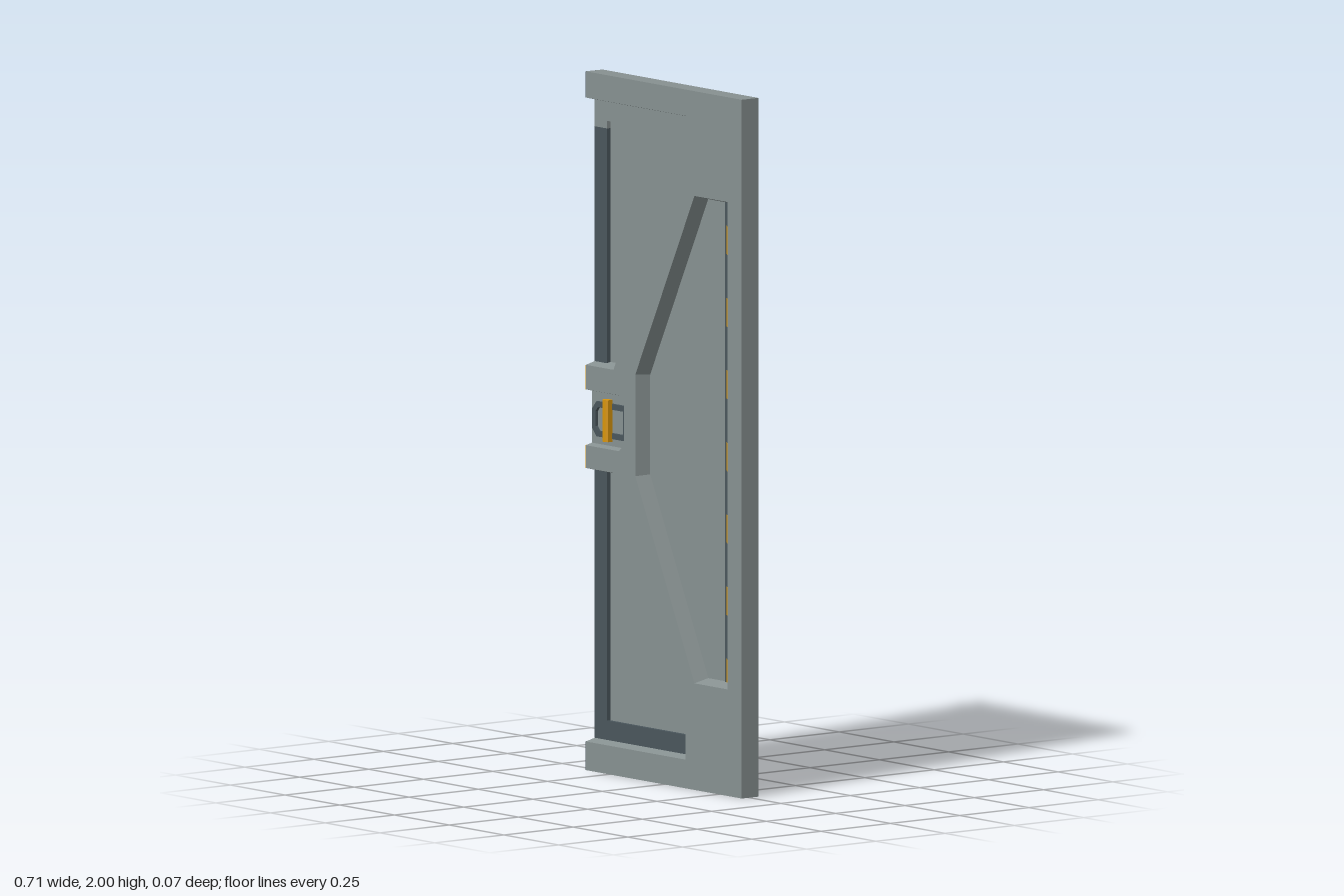
import * as THREE from 'three';

const W = 0.356, FRONT = 0.028, FLOOR = -0.016, LEDGE = -0.004, BACK = -0.033;

function mat(name, color, side = THREE.FrontSide) {
  const m = new THREE.MeshStandardMaterial({ color, side });
  m.name = name;
  return m;
}

const toShape = (pts) => new THREE.Shape(pts.map(([x, y]) => new THREE.Vector2(x, y)));

// Offset a path to the right of its travel, with mitred corners
function offset(pts, w, closed) {
  const n = pts.length;
  const normal = (i) => {
    const a = pts[(i + n) % n], b = pts[(i + 1 + n) % n];
    const l = Math.hypot(b[0] - a[0], b[1] - a[1]);
    return [(b[1] - a[1]) / l, (a[0] - b[0]) / l];
  };
  return pts.map((p, i) => {
    const n0 = normal(!closed && i === 0 ? 0 : i - 1);
    const n1 = normal(!closed && i === n - 1 ? n - 2 : i);
    const k = w / (1 + n0[0] * n1[0] + n0[1] * n1[1]);
    return [p[0] + (n0[0] + n1[0]) * k, p[1] + (n0[1] + n1[1]) * k];
  });
}

// Flat-sided walls joining a floor outline to a front outline
function walls(low, high, z0, z1) {
  const pos = [];
  low.forEach((a, i) => {
    const j = (i + 1) % low.length, b = low[j], c = high[j], d = high[i];
    pos.push(...a, z0, ...b, z0, ...c, z1, ...a, z0, ...c, z1, ...d, z1);
  });
  const g = new THREE.BufferGeometry();
  g.setAttribute('position', new THREE.Float32BufferAttribute(pos, 3));
  g.computeVertexNormals();
  return g;
}

export function createModel() {
  const door = new THREE.Group();
  door.name = 'door';
  const gray = mat('panelGray', 0x879191);
  const slate = mat('darkSlate', 0x4a565c);
  const orange = mat('warningOrange', 0xd8950c);

  const add = (name, geo, material) => {
    const m = new THREE.Mesh(geo, material);
    m.name = name;
    door.add(m);
    return m;
  };
  const box = (name, x0, x1, y0, y1, z0, z1, material) =>
    add(name, new THREE.BoxGeometry(x1 - x0, y1 - y0, z1 - z0)
      .translate((x0 + x1) / 2, (y0 + y1) / 2, (z0 + z1) / 2), material);
  const plate = (name, shape, z, depth, material) =>
    add(name, new THREE.ExtrudeGeometry(shape, { depth, bevelEnabled: false }).translate(0, 0, z), material);

  // Core slab: gray recess floors, dark back, bottom and latch edge
  box('coreSlab', -W, W, 0, 2, BACK + 0.001, FLOOR, [gray, slate, gray, slate, gray, slate]);

  // Frame with two notches and a handle niche on the latch edge, and a hex recess
  const upper = [[-W, 1.925], [0.1, 1.925], [0.1, 1.82], [-0.23, 1.16], [-W, 1.16]];
  const niche = [[-W, 1.09], [-0.205, 1.09], [-0.182, 1.07], [-0.182, 0.95], [-0.205, 0.93], [-W, 0.93]];
  const lower = [[-W, 0.865], [-0.23, 0.865], [0.1, 0.2], [0.1, 0.082], [-W, 0.082]];
  const hex = [[0.29, 1.7], [0.29, 0.305], [0.14, 0.305], [-0.13, 0.867], [-0.13, 1.158], [0.14, 1.7]];
  const outline = (w) => [[W, 0], [W, 2], [-W, 2],
    ...[upper, niche, lower].flatMap((p) => (w ? offset(p, w, false) : p)), [-W, 0]];
  const face = toShape(outline(0));
  face.holes.push(new THREE.Path(hex.map(([x, y]) => new THREE.Vector2(x, y))));
  add('frameFace', new THREE.ShapeGeometry(face).translate(0, 0, FRONT), gray);
  add('frameWalls', walls(outline(0.011), outline(0), FLOOR, FRONT), gray);
  add('hexRecessWalls', walls(offset(hex, 0.012, true), hex, FLOOR, FRONT), gray);

  // Ledges around the two latch-side recesses
  box('upperSideLedge', -W, -0.3, 1.14, 1.84, FLOOR, LEDGE, slate);
  box('upperCornerLedge', -W, -0.3, 1.84, 1.93, FLOOR, LEDGE, gray);
  box('upperTopLedge', -0.3, 0.1, 1.862, 1.93, FLOOR, LEDGE, gray);
  box('lowerSideLedge', -W, -0.3, 0.08, 0.88, FLOOR, LEDGE, slate);
  box('lowerBottomLedge', -0.3, 0.1, 0.08, 0.145, FLOOR, LEDGE, slate);

  // Hazard strip inside the hex recess
  box('hazardStrip', 0.228, 0.289, 0.307, 1.697, FLOOR, FLOOR + 0.004, slate);
  for (let i = 0; i < 7; i++) {
    const t = 1.623 - i * 0.2065;
    const pts = [[0.236, t], [0.284, t - 0.035], [0.284, t - 0.118], [0.236, t - 0.08]]
      .map(([x, y]) => [x, Math.max(y, 0.312)]);
    plate('hazardStripe', toShape(pts), FLOOR + 0.003, 0.002, orange);
  }

  // Handle niche floor, dark ring and grip bar
  box('nicheFloor', -W, -0.175, 0.92, 1.1, FLOOR, 0.006, gray);
  const ringPts = [[-0.325, 0.958], [-0.188, 0.958], [-0.188, 1.058], [-0.325, 1.058], [-0.345, 1.035], [-0.345, 0.981]];
  const ring = toShape(ringPts);
  ring.holes.push(new THREE.Path(offset(ringPts, -0.016, true).map(([x, y]) => new THREE.Vector2(x, y))));
  plate('handleRing', ring, 0.005, 0.01, slate);
  const grip = new THREE.ExtrudeGeometry(
    toShape([[-0.013, -0.012], [0.013, -0.012], [0.013, -0.028], [0.006, -0.033], [-0.006, -0.033], [-0.013, -0.028]]),
    { depth: 0.12, bevelEnabled: false });
  add('gripBar', grip.rotateX(-Math.PI / 2).translate(-0.267, 0.95, 0), orange);

  // Painted faces on the latch edge, drawn as (z, y) profiles
  const edge = (name, pts, material) => add(name,
    new THREE.ExtrudeGeometry(toShape(pts.map(([z, y]) => [z, y])), { depth: 0.001, bevelEnabled: false })
      .rotateY(-Math.PI / 2).translate(-W, 0, 0), material);
  edge('latchEdge', [[LEDGE, 0.86], [FRONT, 0.865], [FRONT, 0.93], [0.006, 0.935],
    [0.006, 1.085], [FRONT, 1.09], [FRONT, 1.16], [LEDGE, 1.165]], orange);
  edge('topTabEdge', [[FLOOR, 1.915], [FRONT, 1.925], [FRONT, 2], [FLOOR, 2]], slate);
  edge('bottomTabEdge', [[FLOOR, 0], [FRONT, 0], [FRONT, 0.082], [FLOOR, 0.092]], slate);

  // Light panel on the back
  plate('backPanel', toShape([[-W, 0.083], [0.09, 0.083], [0.285, 0.298], [0.285, 1.7], [0.09, 1.917], [-W, 1.917]]),
    BACK, 0.002, gray);

  return door;
}
